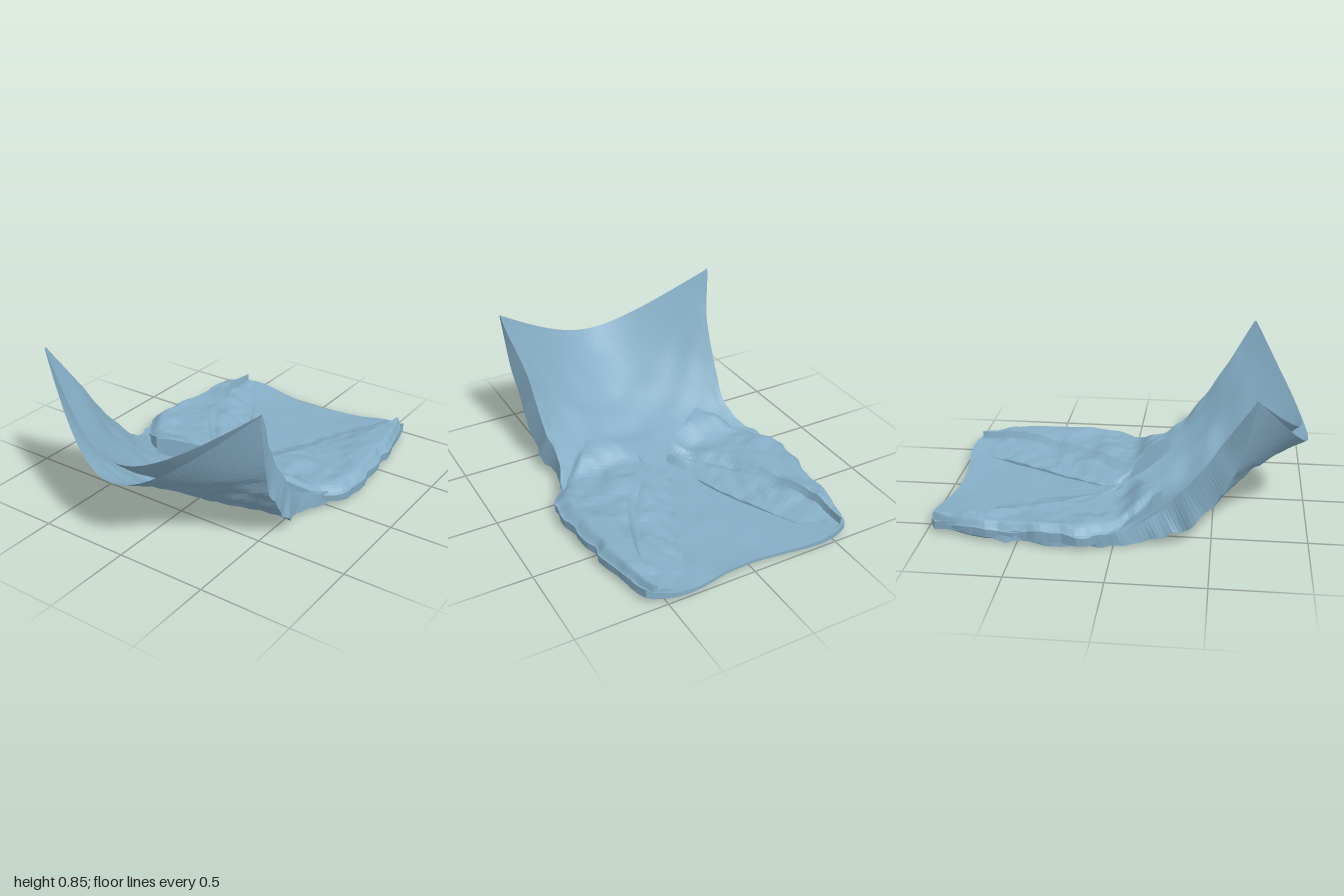
import * as THREE from 'three';

const material = new THREE.MeshStandardMaterial({ color: 0x86aec6, flatShading: true, side: THREE.DoubleSide });
const { lerp, smoothstep, clamp } = THREE.MathUtils;

// Smooth curve through [a, b] points
const curve = pts => new THREE.CatmullRomCurve3(pts.map(p => new THREE.Vector3(p[0], p[1], 0)));

// Repeatable value noise in -1..1 for the crumpled cloth
function hash(i, j) {
  const s = Math.sin(i * 127.1 + j * 311.7) * 43758.5453;
  return (s - Math.floor(s)) * 2 - 1;
}
function noise(x, z) {
  const i = Math.floor(x), j = Math.floor(z);
  const a = smoothstep(x - i, 0, 1), b = smoothstep(z - j, 0, 1);
  return lerp(lerp(hash(i, j), hash(i + 1, j), a), lerp(hash(i, j + 1), hash(i + 1, j + 1), a), b);
}

// Cloth slab: top and bottom grids joined around the rim, the far end optionally open
function slab(name, nu, nv, top, bottom, openEnd) {
  const pos = [], index = [], w = nu + 1, n = w * (nv + 1);
  for (const f of [top, bottom])
    for (let j = 0; j <= nv; j++)
      for (let i = 0; i <= nu; i++) pos.push(...f(i / nu, j / nv));
  const quad = (a, b, c, d) => index.push(a, b, c, a, c, d);
  for (let j = 0; j < nv; j++) {
    for (let i = 0; i < nu; i++) {
      const a = j * w + i;
      quad(a, a + w, a + w + 1, a + 1);
      quad(a + n, a + n + 1, a + n + w + 1, a + n + w);
    }
    const l = j * w, r = l + nu;
    quad(l, l + n, l + n + w, l + w);
    quad(r, r + w, r + n + w, r + n);
  }
  for (let i = 0; i < nu; i++) {
    const e = nv * w + i;
    quad(i, i + 1, i + 1 + n, i + n);
    if (!openEnd) quad(e, e + n, e + n + 1, e + 1);
  }
  const g = new THREE.BufferGeometry();
  g.setAttribute('position', new THREE.Float32BufferAttribute(pos, 3));
  g.setIndex(index);
  g.computeVertexNormals();
  const mesh = new THREE.Mesh(g, material);
  mesh.name = name;
  return mesh;
}

// Body: flat from the neckline, then two layers sweeping up to an open curved hem.
// Lengthwise curves hold [z, y] at the middle and the side edges.
function body() {
  const midTop = curve([[-0.95, 0.035], [-0.6, 0.03], [-0.25, 0.035], [0, 0.055], [0.2, 0.08],
    [0.36, 0.115], [0.52, 0.195], [0.68, 0.29], [0.83, 0.39], [0.96, 0.505]]);
  const midBottom = curve([[-0.95, 0.018], [-0.6, 0.01], [-0.25, 0.01], [0, 0.012], [0.2, 0.022],
    [0.36, 0.06], [0.52, 0.155], [0.68, 0.255], [0.84, 0.34], [1, 0.415]]);
  const sideTop = curve([[-0.95, 0.085], [-0.6, 0.075], [-0.25, 0.075], [0, 0.09], [0.16, 0.14],
    [0.27, 0.22], [0.37, 0.34], [0.47, 0.48], [0.57, 0.64], [0.7, 0.86]]);
  const sideBottom = curve([[-0.95, 0.04], [-0.6, 0.02], [-0.25, 0.018], [0, 0.02], [0.2, 0.035],
    [0.33, 0.08], [0.45, 0.19], [0.55, 0.33], [0.63, 0.52], [0.71, 0.855]]);
  // Left and right extents along the body
  const width = curve([[-0.6, 0.59], [-0.66, 0.65], [-0.68, 0.67], [-0.65, 0.62], [-0.6, 0.56],
    [-0.61, 0.58], [-0.62, 0.6], [-0.64, 0.6], [-0.66, 0.62], [-0.715, 0.64]]);
  const c = 0.5;

  const layer = (mid, side, under) => (u, v) => {
    const t = Math.abs(u * 2 - 1);
    const k = (Math.hypot(t, c) - c) / (Math.hypot(1, c) - c);
    const m = mid.getPoint(v), s = side.getPoint(v), w = width.getPoint(v);
    const calm = 1 - smoothstep(v, 0.72, 1);
    const neck = 0.05 * Math.sin(Math.PI * t * t) * Math.pow(1 - v, 4);
    const rim = smoothstep(t, 0.85, 1) * calm;
    // The upper layer is drawn in along its sides, leaving a sloping rim
    const inset = under ? 0 : 0.03 * smoothstep(v, 0.4, 0.55) * (1 - smoothstep(v, 0.85, 1));
    const x = lerp(w.x + inset, w.y - inset, u), z = lerp(m.x, s.x, k) - neck;
    const fold = smoothstep(v, 0.4, 0.55) * calm;
    const folds = under ? 0.022 * noise(x * 9 + 9, v * 30 + x * 3) : 0.012 * noise(x * 7 + 4, z * 9);
    // The flat part stays low until close to its sides
    const rise = lerp(k * k, k, smoothstep(v, 0.35, 0.6));
    const y = lerp(m.y, s.y, rise) + fold * folds + rim * 0.012 * noise(x * 20, z * 16)
      + 0.005 * calm * noise(x * 7, z * 7);
    return [x + rim * 0.016 * noise(z * 17, under ? 3.5 : 8.5), Math.max(y, 0.002), z];
  };
  return slab('body', 44, 64, layer(midTop, sideTop, false), layer(midBottom, sideBottom, true), true);
}

// Front panel: puffy folded flap with a slanted step beside the neckline
function frontPanel(name, side, innerPts, seed) {
  const inner = curve(innerPts);
  const outer = curve([[0.58, -0.955], [0.655, -0.7], [0.685, -0.4], [0.7, -0.12], [0.57, 0.06], [0.37, 0.23]]);
  const plan = (u, v) => {
    // Grid columns follow the crease, so the step stays crisp
    const q = side > 0 ? u : 1 - u;
    const crease = lerp(0.8, 0.1, Math.pow(v, 0.75));
    const p = q < 0.4 ? crease * q / 0.4 : lerp(crease, 1, Math.pow((q - 0.4) / 0.6, 0.9));
    const a = inner.getPoint(v), b = outer.getPoint(v);
    const rough = smoothstep(p, 0.8, 1) * 0.018 * noise(v * 22, seed);
    return { p, q, x: side * (lerp(a.x, b.x, p) + rough), z: lerp(a.y, b.y, p) + rough * 0.5 };
  };
  const lift = z => 0.07 * smoothstep(z, -0.02, 0.23);
  const top = (u, v) => {
    const { p, q, x, z } = plan(u, v);
    const lapel = 0.042 * smoothstep(q, 0, 0.36);
    const step = 0.04 * smoothstep(q, 0.4, 0.45);
    const round = 0.045 * Math.pow(smoothstep(p, 0.86, 1), 1.5) * (1 - smoothstep(v, 0.85, 1));
    const shoulder = 0.012 * (1 - smoothstep(v, 0, 0.2));
    const dents = 0.014 + 0.012 * smoothstep(v, 0.5, 0.9);
    const y = 0.045 + lapel + step - round - shoulder + lift(z)
      + dents * smoothstep(q, 0.05, 0.4) * noise(x * 8 + seed, z * 8) + 0.007 * noise(x * 18, z * 18 + seed);
    return [x, y, z];
  };
  const bottom = (u, v) => {
    const { p, x, z } = plan(u, v);
    const shoulder = 0.02 * (1 - clamp(v * 6, 0, 1));
    const tuck = smoothstep(p, 0.9, 1);
    return [x - side * 0.005 * tuck, 0.015 + lift(z) + shoulder + 0.02 * tuck + 0.005 * noise(x * 12, z * 12), z];
  };
  return slab(name, 40, 40, top, bottom, false);
}

export function createModel() {
  const group = new THREE.Group();
  group.name = 'foldedGarment';
  group.add(
    body(),
    frontPanel('leftFrontPanel', 1, [[0.37, -0.985], [0.29, -0.77], [0.2, -0.57], [0.08, -0.32], [-0.01, -0.08], [0.06, 0.0]], 4.3),
    frontPanel('rightFrontPanel', -1, [[0.45, -0.985], [0.36, -0.76], [0.27, -0.58], [0.17, -0.35], [0.1, -0.15], [0.04, 0.01]], 11.7),
  );
  return group;
}
